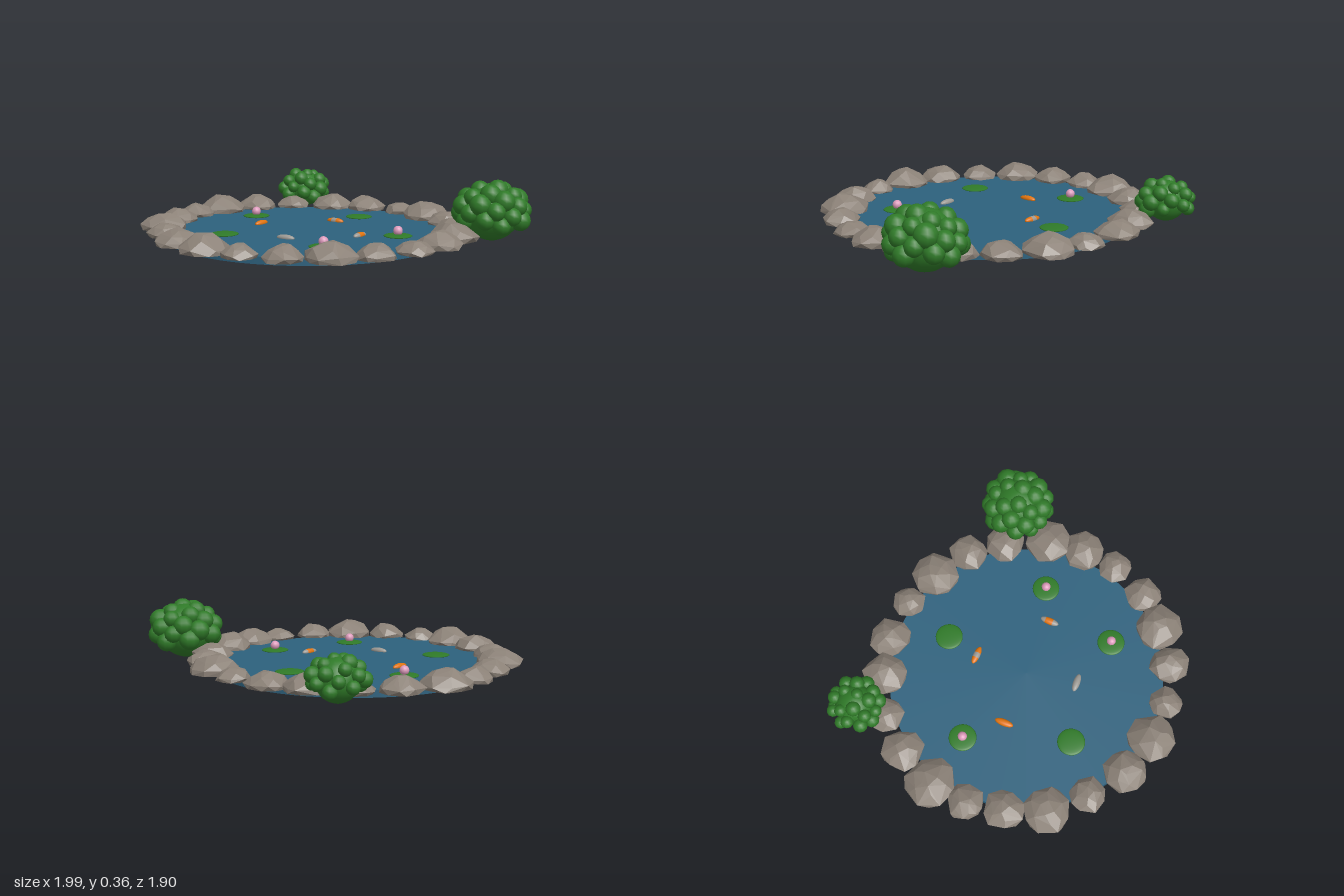
import * as THREE from 'three';
import { ConvexGeometry } from 'three/addons/geometries/ConvexGeometry.js';

const mat = (name, color) => {
  const m = new THREE.MeshStandardMaterial({ color });
  m.name = name;
  return m;
};

// Small seeded generator
function seeded(seed) {
  let s = seed;
  return () => (s = (s * 16807) % 2147483647) / 2147483647;
}

// Rim stones: x, z, radius
const ROCKS = [
  [0.13, -0.82, 0.145], [0.37, -0.76, 0.12], [0.56, -0.63, 0.12], [0.74, -0.43, 0.145],
  [0.83, -0.23, 0.13], [0.865, -0.015, 0.105], [0.83, 0.225, 0.115], [0.72, 0.43, 0.145],
  [0.57, 0.615, 0.12], [0.37, 0.74, 0.1], [0.15, 0.805, 0.145], [-0.1, 0.81, 0.13],
  [-0.34, 0.73, 0.11], [-0.555, 0.61, 0.14], [-0.705, 0.42, 0.12], [-0.81, 0.225, 0.11],
  [-0.85, 0, 0.15], [-0.81, -0.24, 0.125], [-0.71, -0.455, 0.105], [-0.53, -0.63, 0.13],
  [-0.345, -0.755, 0.125], [-0.1, -0.825, 0.1],
];

// Lily pads: x, z, has a flower
const PADS = [
  [-0.115, -0.495, false], [0.49, -0.25, true], [-0.535, 0.03 * -1, true],
  [0.465, 0.265, true], [-0.16, 0.465, false],
];

export function createModel() {
  const water = mat('water blue', 0x2d617d);
  const stone = mat('stone grey', 0x8b8177);
  const leaf = mat('leaf green', 0x2f7a28);
  const pink = mat('blossom pink', 0xdc9abb);
  const orange = mat('fish orange', 0xe0740f);
  const pale = mat('fish grey', 0x9c9993);

  const model = new THREE.Group();
  model.name = 'gardenPond';
  const add = (parent, name, geometry, material, x, y, z) => {
    const mesh = new THREE.Mesh(geometry, material);
    mesh.name = name;
    mesh.position.set(x, y, z);
    parent.add(mesh);
    return mesh;
  };

  // Shallow disc of water
  add(model, 'water', new THREE.CylinderGeometry(0.8, 0.8, 0.04, 64), water, 0, 0.02, 0);

  // Faceted, flat-bottomed stones around the rim
  const rand = seeded(4711);
  const rings = [[0, 0.93, 9], [0.28, 0.98, 8], [0.66, 0.68, 6], [0.93, 0.3, 4]];
  const rocks = new THREE.Group();
  rocks.name = 'rimStones';
  model.add(rocks);
  ROCKS.forEach(([x, z, r]) => {
    const points = [];
    const turn = rand() * 6;
    rings.forEach(([y, radius, n], k) => {
      for (let i = 0; i < n; i++) {
        const a = turn + k * 0.4 + ((i + rand() * 0.5) / n) * Math.PI * 2;
        const d = r * radius * (0.9 + rand() * 0.17);
        const h = k ? r * 0.7 * (y + (rand() - 0.5) * 0.16) : 0;
        points.push(new THREE.Vector3(Math.cos(a) * d, h, Math.sin(a) * d));
      }
    });
    add(rocks, 'rimStone', new ConvexGeometry(points), stone, x, 0.036, z);
  });

  // Bush: a round core studded with leaf clumps
  function bush(name, x, y, z, core, spread, rise, clump, count) {
    const group = new THREE.Group();
    group.name = name;
    group.position.set(x, y, z);
    model.add(group);
    add(group, 'bushCore', new THREE.SphereGeometry(core, 20, 14), leaf, 0, 0, 0);
    for (let i = 0; i < count; i++) {
      const v = 0.97 - (1.4 * i) / (count - 1);
      const h = Math.sqrt(1 - v * v) * spread;
      const a = i * 2.39996;
      const size = clump * (0.85 + rand() * 0.3);
      add(group, 'leafClump', new THREE.SphereGeometry(size, 10, 8), leaf,
        Math.cos(a) * h, v * rise, Math.sin(a) * h);
    }
  }
  bush('largeBush', 0.77, 0.17, -0.7, 0.16, 0.17, 0.13, 0.057, 30);
  bush('smallBush', -0.79, 0.135, -0.61, 0.115, 0.132, 0.098, 0.042, 22);

  // Lily pads, some with a blossom
  const padGeometry = new THREE.SphereGeometry(0.08, 28, 10);
  padGeometry.scale(1, 0.12, 1);
  const blossomGeometry = new THREE.SphereGeometry(0.027, 12, 10);
  PADS.forEach(([x, z, flower]) => {
    add(model, 'lilyPad', padGeometry, leaf, x, 0.046, z);
    if (flower) add(model, 'blossom', blossomGeometry, pink, x, 0.074, z);
  });

  // Fish: slim ellipsoids split along their length into coloured bands
  function fish(x, z, heading, bands) {
    const group = new THREE.Group();
    group.name = 'fish';
    group.position.set(x, 0.044, z);
    group.rotation.y = heading;
    model.add(group);
    bands.forEach(([material, from, to]) => {
      const geometry = new THREE.SphereGeometry(1, 14, 8, 0, Math.PI * 2, from * Math.PI, (to - from) * Math.PI);
      geometry.rotateZ(-Math.PI / 2);
      geometry.scale(0.056, 0.018, 0.021);
      add(group, 'fishBody', geometry, material, 0, 0, 0);
    });
  }
  fish(-0.1, -0.295, 0.27, [[orange, 0, 0.42], [pale, 0.42, 0.6], [orange, 0.6, 1]]);
  fish(0.34, -0.1, -1.3, [[pale, 0, 0.38], [orange, 0.38, 0.65], [pale, 0.65, 1]]);
  fish(-0.315, 0.095, -1.27, [[orange, 0, 1]]);
  fish(0.14, 0.265, 0.35, [[pale, 0, 1]]);

  return model;
}
